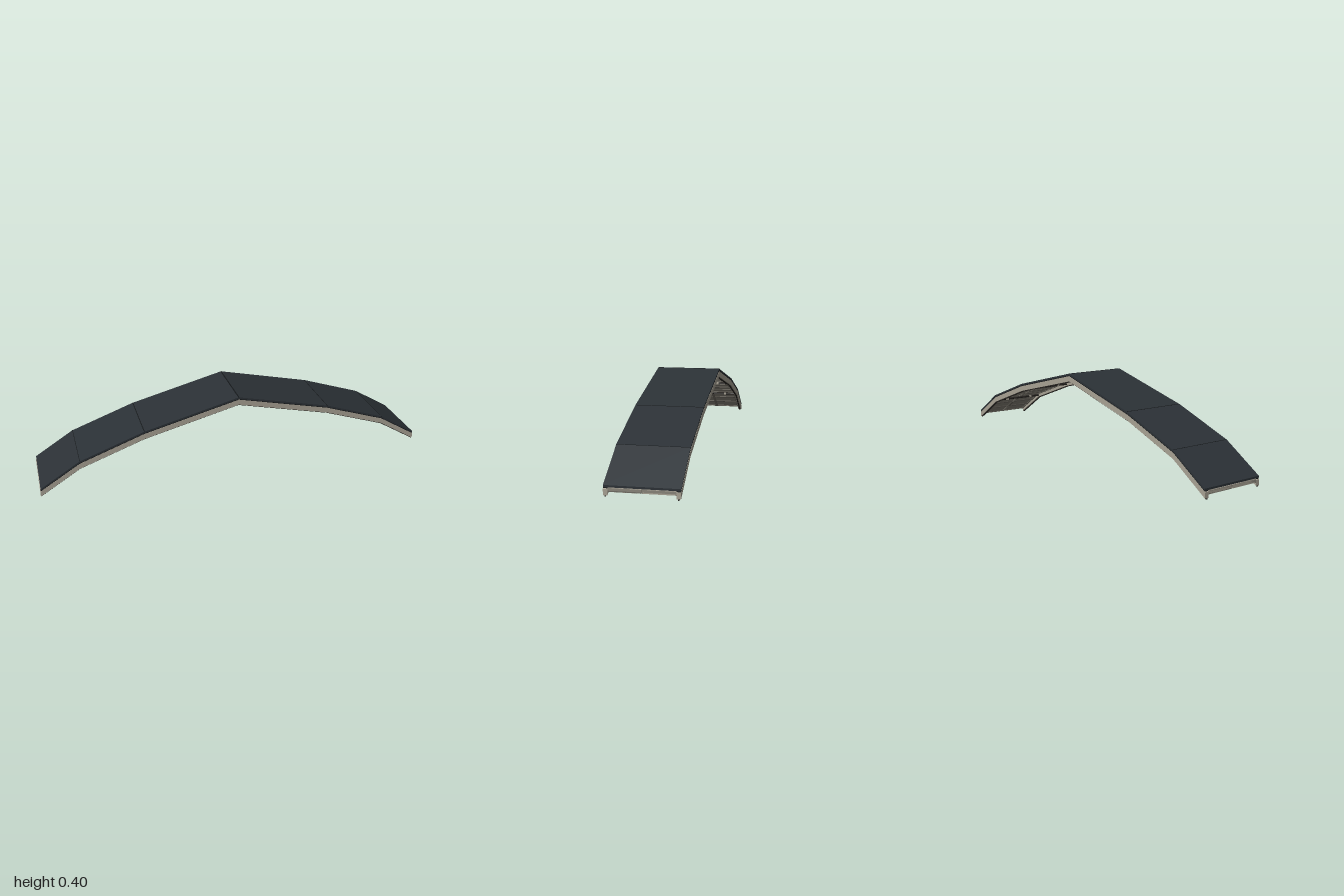
import * as THREE from 'three';

// Upper outline of one half of the arch, from ridge to eave
const PROFILE = [[0, 0.397], [0.48, 0.28], [0.8, 0.168], [1, 0.045]];
const ROWS = [5, 4, 3];

const material = (color) => new THREE.MeshStandardMaterial({ color, roughness: 0.8, flatShading: true });
const roofMat = material(0x2b3136);
const seamMat = material(0x15181a);
const beamMat = material(0xa8a294);
const panelMat = material(0x8a857a);
const ribMat = material(0x6f6b62);
const darkMat = material(0x25221f);

// Point on segment i at fraction t, lowered by drop
function at(i, t, drop = 0) {
  const [x0, y0] = PROFILE[i];
  const [x1, y1] = PROFILE[i + 1];
  return [x0 + (x1 - x0) * t, y0 + (y1 - y0) * t - drop];
}

// Sloping slab on segment i: t0..t1 along it, top..bottom below the outline, z0..z1 across
function slab(name, mat, side, i, t0, t1, top, bottom, z0, z1) {
  const corners = [at(i, t0, top), at(i, t1, top), at(i, t1, bottom), at(i, t0, bottom)];
  const shape = new THREE.Shape(corners.map(([x, y]) => new THREE.Vector2(x * side, y)));
  const geometry = new THREE.ExtrudeGeometry(shape, { depth: z1 - z0, bevelEnabled: false });
  geometry.translate(0, 0, z0);
  const mesh = new THREE.Mesh(geometry, mat);
  mesh.name = name;
  return mesh;
}

// Dark tie bar below a joint with two clamps
function tieBar(x, y) {
  const group = new THREE.Group();
  group.name = 'tieBar';
  const bar = new THREE.Mesh(new THREE.CylinderGeometry(0.005, 0.005, 0.284, 8), darkMat);
  bar.name = 'bar';
  bar.rotation.x = Math.PI / 2;
  group.add(bar);
  for (const z of [-0.08, 0.08]) {
    const clamp = new THREE.Mesh(new THREE.BoxGeometry(0.014, 0.012, 0.014), beamMat);
    clamp.name = 'clamp';
    clamp.position.z = z;
    group.add(clamp);
  }
  group.position.set(x, y, 0);
  return group;
}

function roofSection(side, i) {
  const group = new THREE.Group();
  group.name = 'roofSection';
  const add = (...args) => group.add(slab(args[0], args[1], side, i, ...args.slice(2)));
  const end = i === 2 ? 0.985 : 1;

  // Weather skin and its seam at the lower joint
  add('roofSkin', roofMat, 0, end, 0, 0.009, -0.16, 0.16);
  if (i < 2) add('roofSeam', seamMat, 0.992, 1, -0.0006, 0.004, -0.16, 0.16);

  for (const s of [-1, 1]) {
    const across = (a, b) => (s > 0 ? [a, b] : [-b, -a]);
    // Side beam with a narrow rail beneath
    add('edgeTrim', seamMat, 0, end, 0.009, 0.013, ...across(0.142, 0.159));
    add('sideBeam', beamMat, 0, 1, 0.013, 0.04, ...across(0.141, 0.16));
    add('bottomRail', darkMat, 0, 1, 0.04, 0.045, ...across(0.147, 0.154));

    // Ceiling panel with raised frame and cross ribs
    add('ceilingPanel', panelMat, 0, 1, 0.009, 0.02, ...across(0.001, 0.141));
    add('centreRib', ribMat, 0, 1, 0.02, 0.025, ...across(0.001, 0.007));
    add('edgeRib', ribMat, 0, 1, 0.02, 0.025, ...across(0.133, 0.141));
    const length = Math.hypot(PROFILE[i + 1][0] - PROFILE[i][0], PROFILE[i + 1][1] - PROFILE[i][1]);
    const w = 0.005 / length;
    for (let k = 0; k <= ROWS[i]; k++) {
      const t = w + (k / ROWS[i]) * (1 - 2 * w);
      add('crossRib', ribMat, t - w, t + w, 0.02, 0.0245, ...across(0.007, 0.133));
    }
    if (i === 2) add('eaveFascia', beamMat, 0.97, 1, 0.009, 0.025, ...across(0.001, 0.141));
  }
  return group;
}

export function createModel() {
  const model = new THREE.Group();
  model.name = 'archedRoof';
  for (const side of [-1, 1]) {
    const half = new THREE.Group();
    half.name = side > 0 ? 'leftHalf' : 'rightHalf';
    for (let i = 0; i < 3; i++) half.add(roofSection(side, i));
    for (const i of [1, 2]) half.add(tieBar(PROFILE[i][0] * side, PROFILE[i][1] - 0.031));
    model.add(half);
  }
  // Ridge seam and tie bar
  const ridge = new THREE.Mesh(new THREE.BoxGeometry(0.006, 0.004, 0.32), seamMat);
  ridge.name = 'ridgeSeam';
  ridge.position.set(0, 0.395, 0);
  model.add(ridge, tieBar(0, PROFILE[0][1] - 0.031));
  return model;
}
